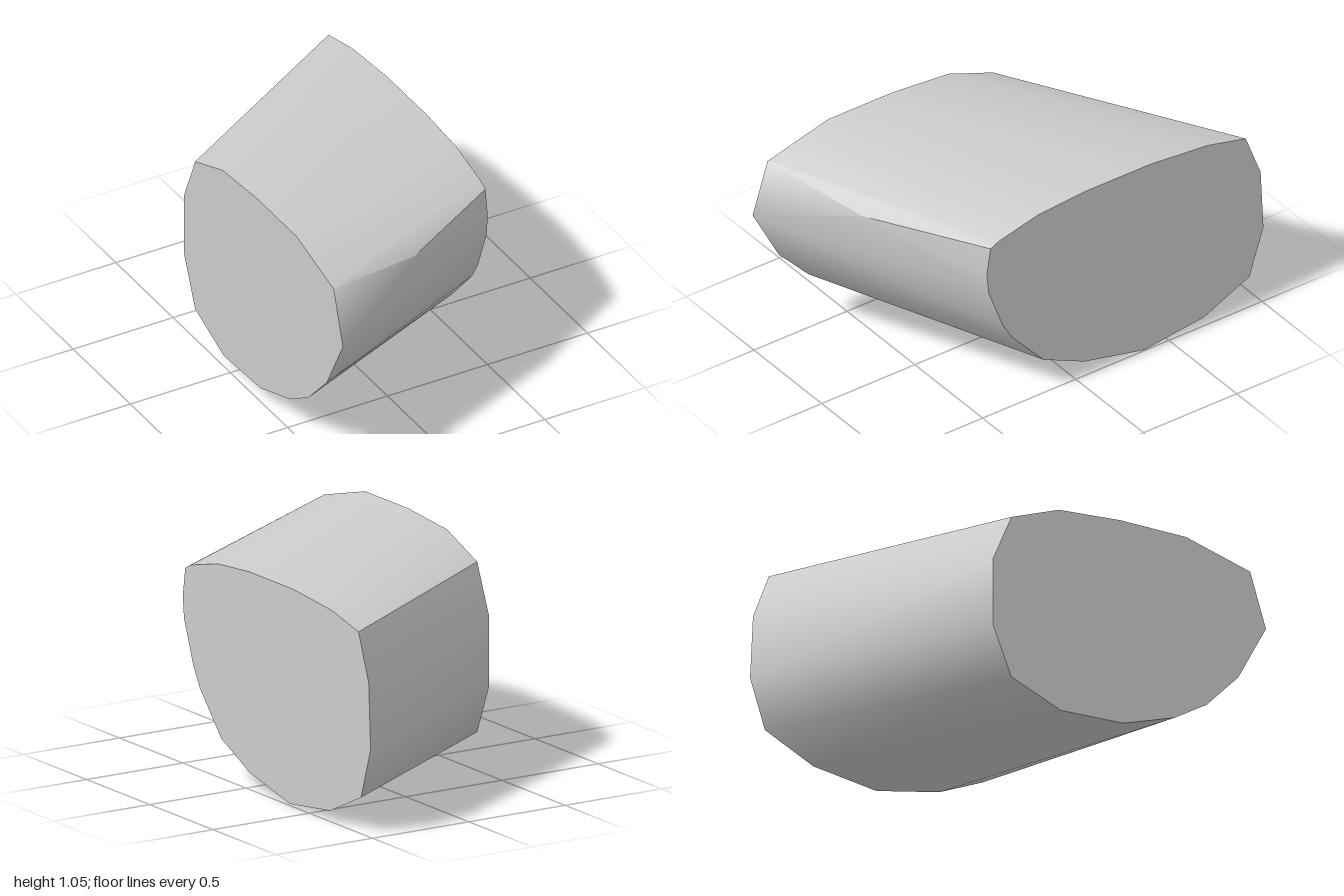
import * as THREE from 'three';
import { ConvexGeometry } from 'three/addons/geometries/ConvexGeometry.js';
import { toCreasedNormals } from 'three/addons/utils/BufferGeometryUtils.js';

const HALF_WIDTH = 0.51;

// End outlines as [z, y], starting at the upper front corner
const rightEnd = [
  [0.92, 0.965], [0.595, 1.053], [0.26, 1.053], [-0.05, 1.028], [-0.29, 0.936],
  [-0.385, 0.71], [-0.385, 0.4], [-0.29, 0.17], [-0.04, 0.07], [0.28, 0.085],
  [0.54, 0.175], [0.7, 0.275], [0.86, 0.445], [1.0, 0.71],
];
const leftEnd = [
  [0.465, 0.89], [0.42, 0.912], [0.21, 0.965], [-0.04, 0.985], [-0.39, 0.985],
  [-0.7, 0.958], [-0.905, 0.91], [-0.985, 0.7], [-1.0, 0.4], [-0.925, 0.17],
  [-0.68, 0.055], [-0.36, 0.014], [-0.04, 0.085], [0.18, 0.185], [0.35, 0.375],
  [0.4, 0.46], [0.475, 0.66], [0.485, 0.76],
];

// Extra corners between the ends: front edge bend and underside bulge
const middle = [[-0.02, 0.89, 0.77], [-0.2, 0.018, -0.04], [0.43, 0.002, -0.36]];

export function createModel() {
  const stone = new THREE.MeshStandardMaterial({ color: 0xcccccc });
  stone.name = 'stone grey';

  const at = (x) => ([z, y]) => new THREE.Vector3(x, y, z);
  const points = [
    ...rightEnd.map(at(-HALF_WIDTH)),
    ...leftEnd.map(at(HALF_WIDTH)),
    ...middle.map((p) => new THREE.Vector3(...p)),
  ];

  // Slanted convex block, smooth around its sides with sharp flat ends
  const geometry = toCreasedNormals(new ConvexGeometry(points), THREE.MathUtils.degToRad(46));
  const block = new THREE.Mesh(geometry, stone);
  block.name = 'slantedBlock';

  const model = new THREE.Group();
  model.name = 'roundedSlantedBlock';
  model.add(block);
  return model;
}
